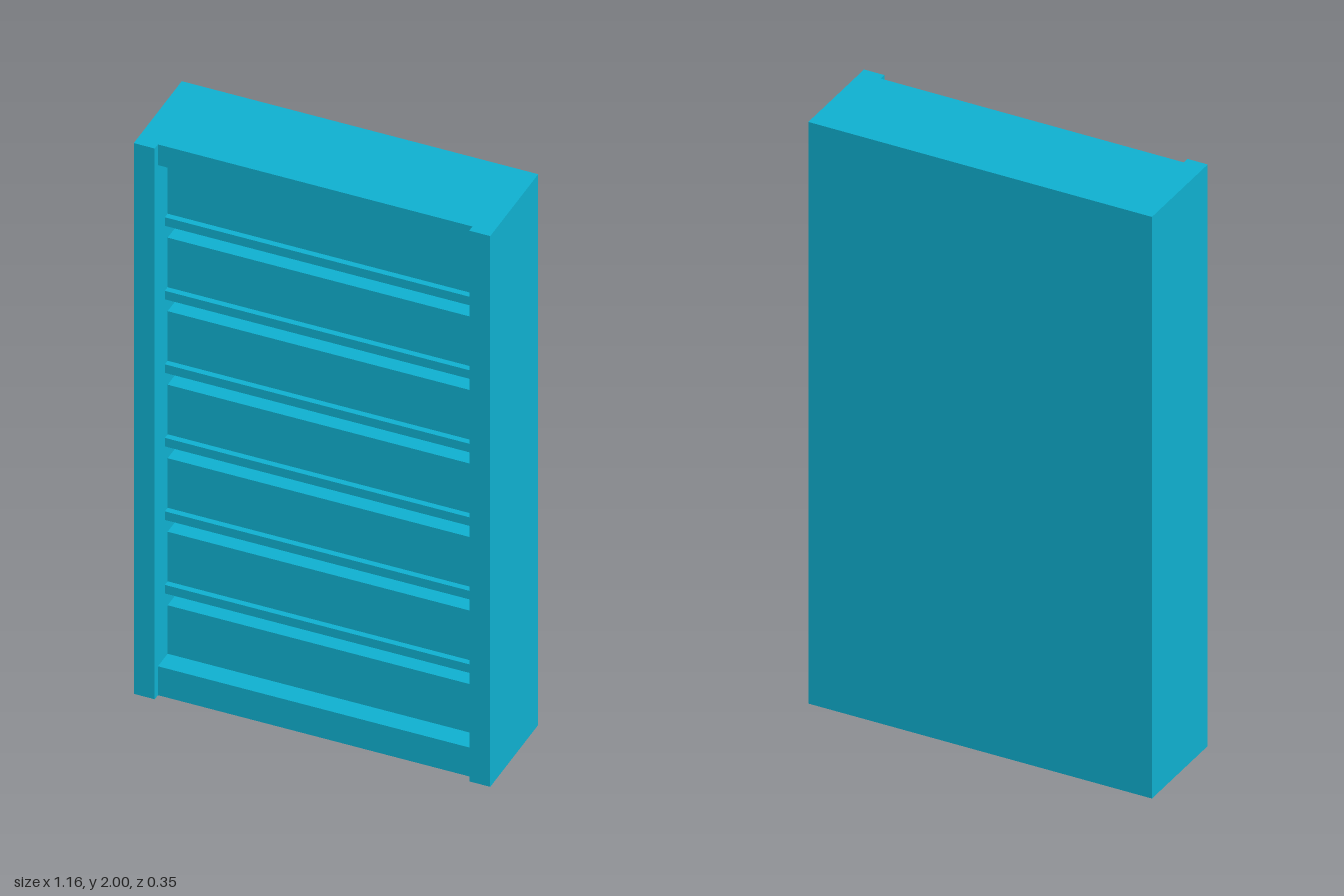
import * as THREE from 'three';

export function createModel() {
  const group = new THREE.Group();
  group.name = 'shelfCabinet';
  const material = new THREE.MeshStandardMaterial({ color: 0x0fb0d0 });

  // Box given by its limits on each axis
  const addBox = (name, x0, x1, y0, y1, z0, z1) => {
    const mesh = new THREE.Mesh(new THREE.BoxGeometry(x1 - x0, y1 - y0, z1 - z0), material);
    mesh.position.set((x0 + x1) / 2, (y0 + y1) / 2, (z0 + z1) / 2);
    mesh.name = name;
    group.add(mesh);
  };

  const outer = 0.578, inner = 0.51, back = -0.173, front = 0.173;
  const backInner = back + 0.02;
  const railFront = 0.15, shelfFront = 0.1, drawerFront = 0.08;

  // Carcass: side walls, back, plinth and header
  addBox('leftSide', inner, outer, 0, 2, back, front);
  addBox('rightSide', -outer, -inner, 0, 2, back, front);
  addBox('backPanel', -inner, inner, 0.105, 1.925, back, backInner);
  addBox('plinth', -inner, inner, 0, 0.105, back, railFront);
  addBox('header', -inner, inner, 1.925, 2, back, railFront);

  // Seven tiers of recessed drawers, with a shelf under all but the lowest
  const tiers = 7, pitch = 0.267;
  for (let i = 0; i < tiers; i++) {
    const top = 0.281 + i * pitch;
    const shelfTop = top - 0.18;
    if (i > 0) addBox('shelf' + i, -inner, inner, shelfTop - 0.031, shelfTop, backInner, shelfFront);
    addBox('drawer' + (i + 1), -inner, inner, i > 0 ? shelfTop : 0.105, top, backInner, drawerFront);
  }

  return group;
}
